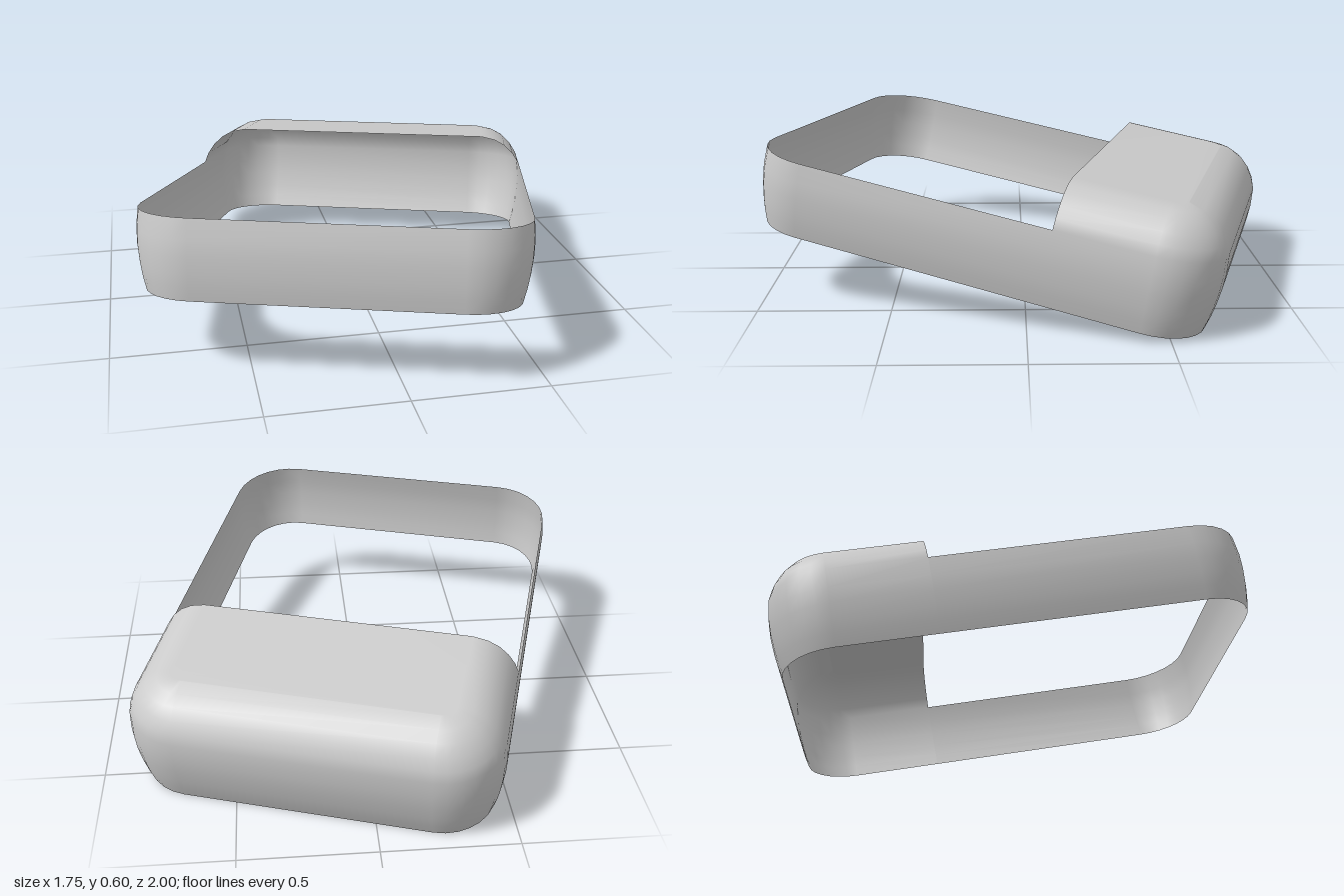
import * as THREE from 'three';

const HALF_W = 0.467, HALF_L = 0.665; // corner centres of the outline
const RADIUS = 0.2;                   // corner radius at the base
const COVER_Z = -0.3;                 // front edge of the cover
const SEGS = 7;                       // segments per corner

// Wall profile: [height, outward offset]; the last band row is the open rim
const BAND = [[0, 0], [0.05, 0.013], [0.1, 0.022], [0.16, 0.029], [0.22, 0.031], [0.295, 0.025]];
const COVER = [[0.335, 0.01], [0.375, -0.016], [0.41, -0.052], [0.433, -0.095], [0.445, -0.15]];

// One outline: the covered back part first, then (if full) the open front part
function outline(offset, full) {
  const r = RADIUS + offset;
  const pts = [[HALF_W + r, COVER_Z]];
  const corner = (cx, cz, start) => {
    for (let i = 0; i <= SEGS; i++) {
      const t = start + (i / SEGS) * Math.PI / 2;
      pts.push([cx + r * Math.cos(t), cz - r * Math.sin(t)]);
    }
  };
  corner(HALF_W, -HALF_L, 0);
  corner(-HALF_W, -HALF_L, Math.PI / 2);
  pts.push([-HALF_W - r, COVER_Z]);
  if (full) {
    corner(-HALF_W, HALF_L, Math.PI);
    corner(HALF_W, HALF_L, Math.PI * 1.5);
  }
  return pts;
}

export function createModel() {
  const positions = [], rowStart = [];
  const addRow = ([y, offset], full) => {
    rowStart.push(positions.length / 3);
    outline(offset, full).forEach(([x, z]) => positions.push(x, y, z));
  };
  BAND.forEach((row) => addRow(row, true));
  COVER.forEach((row) => addRow(row, false));

  const back = outline(0, false).length, all = outline(0, true).length;
  const quad = (index, a, b, c, d) => index.push(a, b, c, a, c, d);

  // Open band around the whole outline
  const bandIndex = [], coverIndex = [];
  for (let j = 0; j < BAND.length - 1; j++) {
    const p = rowStart[j], q = rowStart[j + 1];
    for (let i = 0; i < all; i++) {
      const n = (i + 1) % all;
      quad(bandIndex, p + i, p + n, q + n, q + i);
    }
  }

  // Rounded shoulder of the cover
  for (let j = BAND.length - 1; j < rowStart.length - 1; j++) {
    const p = rowStart[j], q = rowStart[j + 1];
    for (let i = 0; i < back - 1; i++) quad(coverIndex, p + i, p + i + 1, q + i + 1, q + i);
  }
  // Flat roof, bridged between mirrored points
  const top = rowStart[rowStart.length - 1];
  for (let i = 0; i < back / 2 - 1; i++) {
    quad(coverIndex, top + i, top + i + 1, top + back - 2 - i, top + back - 1 - i);
  }

  // Shared normals keep the join between band and cover smooth
  const whole = new THREE.BufferGeometry();
  whole.setAttribute('position', new THREE.Float32BufferAttribute(positions, 3));
  whole.setIndex([...bandIndex, ...coverIndex]);
  whole.computeVertexNormals();

  const material = new THREE.MeshStandardMaterial({ color: 0xcccccc, side: THREE.DoubleSide });
  const shell = new THREE.Group();
  shell.name = 'tiltedShell';
  const addPart = (name, index) => {
    const geometry = new THREE.BufferGeometry();
    geometry.setAttribute('position', whole.getAttribute('position').clone());
    geometry.setAttribute('normal', whole.getAttribute('normal').clone());
    geometry.setIndex(index);
    const mesh = new THREE.Mesh(geometry, material);
    mesh.name = name;
    shell.add(mesh);
  };
  addPart('band', bandIndex);
  addPart('backCover', coverIndex);

  // Turned sideways, with the front raised
  shell.rotation.set(-THREE.MathUtils.degToRad(10), -THREE.MathUtils.degToRad(17.5), 0, 'YXZ');
  shell.position.set(-0.0075, 0.15, 0.035);

  const model = new THREE.Group();
  model.name = 'halfCoveredFrame';
  model.add(shell);
  return model;
}
